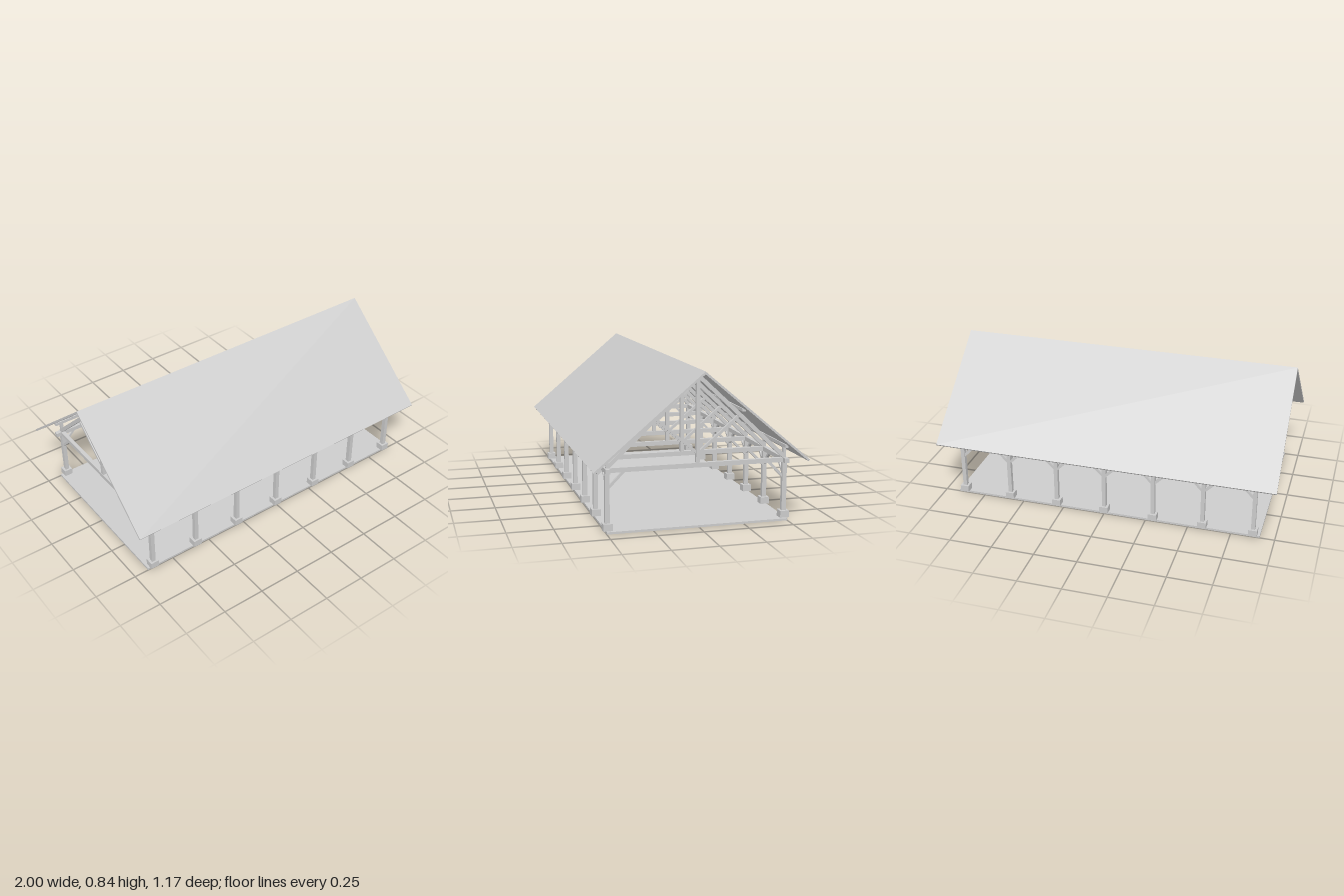
import * as THREE from 'three';

export function createModel() {
  const model = new THREE.Group();
  model.name = 'openPavilion';
  const grey = new THREE.MeshStandardMaterial({ color: 0xcccccc });
  grey.name = 'lightGrey';

  const add = (parent, name, geometry, x, y, z) => {
    const mesh = new THREE.Mesh(geometry, grey);
    mesh.name = name;
    mesh.position.set(x, y, z);
    parent.add(mesh);
    return mesh;
  };
  const box = (parent, name, w, h, d, x, y, z) =>
    add(parent, name, new THREE.BoxGeometry(w, h, d), x, y, z);

  // Slanted timber in the z-y plane, from (z1, y1) to (z2, y2)
  const crossTimber = (parent, name, width, depth, z1, y1, z2, y2) => {
    const len = Math.hypot(z2 - z1, y2 - y1);
    const m = box(parent, name, width, depth, len, 0, (y1 + y2) / 2, (z1 + z2) / 2);
    m.rotation.x = -Math.atan2(y2 - y1, z2 - z1);
  };
  // Slanted timber in the x-y plane
  const longTimber = (parent, name, width, depth, x1, y1, x2, y2, z) => {
    const len = Math.hypot(x2 - x1, y2 - y1);
    const m = box(parent, name, len, depth, width, (x1 + x2) / 2, (y1 + y2) / 2, z);
    m.rotation.z = Math.atan2(y2 - y1, x2 - x1);
  };

  // Floor slab
  box(model, 'floor', 1.83, 0.012, 1.0, 0, 0.006, 0);

  // Gabled roof sheet
  const profile = new THREE.Shape([
    [-0.585, 0.352], [-0.578, 0.343], [0, 0.828],
    [0.578, 0.343], [0.585, 0.352], [0, 0.843],
  ].map(([a, b]) => new THREE.Vector2(a, b)));
  const roof = new THREE.ExtrudeGeometry(profile, { depth: 2, bevelEnabled: false });
  roof.translate(0, 0, -1).rotateY(Math.PI / 2);
  add(model, 'roof', roof, 0, 0, 0);

  // Lengthwise beams
  box(model, 'ridgePurlin', 1.83, 0.016, 0.016, 0, 0.821, 0);
  for (const s of [-1, 1]) {
    box(model, 'wallPlate', 1.83, 0.025, 0.025, 0, 0.331, s * 0.491);
    box(model, 'middlePurlin', 1.83, 0.016, 0.019, 0, 0.619, s * 0.242);
    box(model, 'eavesPurlin', 1.83, 0.018, 0.015, 0, 0.41, s * 0.488);
  }

  // Seven identical frames: posts, braces and king-post truss
  const count = 7;
  for (let i = 0; i < count; i++) {
    const frame = new THREE.Group();
    frame.name = 'frame' + (i + 1);
    frame.position.x = -0.875 + (i * 1.75) / (count - 1);
    model.add(frame);

    box(frame, 'tieBeam', 0.022, 0.025, 1.0, 0, 0.331, 0);
    box(frame, 'kingPost', 0.021, 0.472, 0.021, 0, 0.579, 0);
    for (const s of [-1, 1]) {
      box(frame, 'postBase', 0.05, 0.038, 0.05, 0, 0.031, s * 0.49);
      box(frame, 'post', 0.023, 0.27, 0.025, 0, 0.185, s * 0.49);
      box(frame, 'eavesStud', 0.018, 0.06, 0.015, 0, 0.372, s * 0.488);
      crossTimber(frame, 'rafter', 0.021, 0.022, s * 0.49, 0.346, 0, 0.806);
      crossTimber(frame, 'strut', 0.016, 0.014, s * 0.235, 0.592, s * 0.005, 0.397);
      crossTimber(frame, 'kneeBrace', 0.014, 0.014, s * 0.484, 0.237, s * 0.4, 0.322);
      // Lengthwise braces point only towards neighbouring posts
      for (const d of [-1, 1]) {
        if ((i === 0 && d < 0) || (i === count - 1 && d > 0)) continue;
        longTimber(frame, 'plateBrace', 0.014, 0.014, d * 0.007, 0.25, d * 0.08, 0.323, s * 0.49);
      }
    }
  }
  return model;
}
